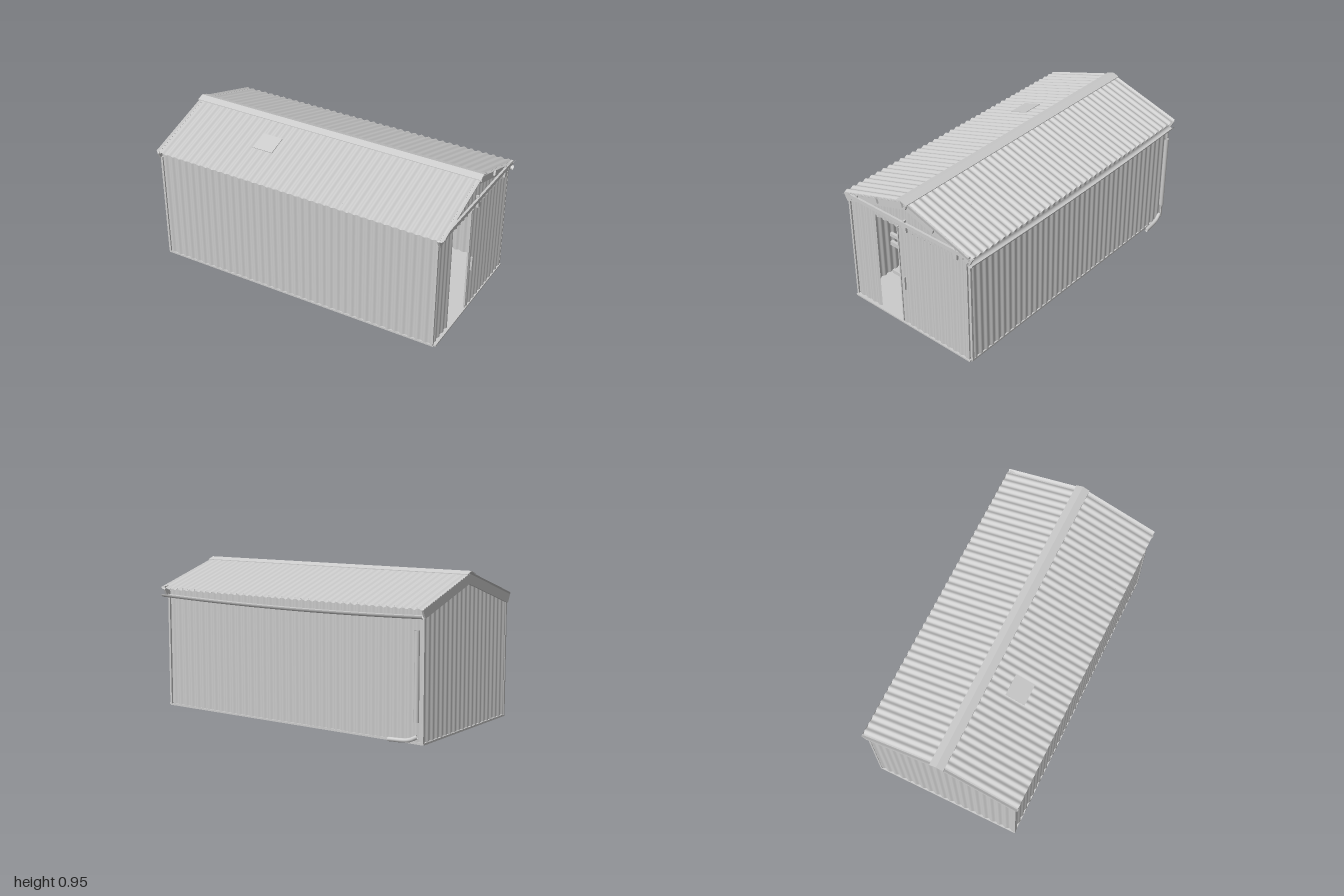
import * as THREE from 'three';

const mat = new THREE.MeshStandardMaterial({ color: 0xcccccc, side: THREE.DoubleSide });
const PITCH = Math.atan(0.317);
const roofY = (z) => 0.936 - 0.317 * Math.abs(z);

export function createModel() {
  const root = new THREE.Group();
  root.name = 'corrugatedShed';

  const add = (name, geo, x = 0, y = 0, z = 0, parent = root) => {
    const m = new THREE.Mesh(geo, mat);
    m.name = name;
    m.position.set(x, y, z);
    parent.add(m);
    return m;
  };
  // box given by its extents on each axis
  const block = (name, [x0, x1], [y0, y1], [z0, z1]) => add(name,
    new THREE.BoxGeometry(x1 - x0, y1 - y0, z1 - z0), (x0 + x1) / 2, (y0 + y1) / 2, (z0 + z1) / 2);

  // wavy sheet from u0 to u1 and from bottom to top(u), ribs running upward
  const sheet = (u0, u1, bottom, top, amp = 0.005, period = 0.05) => {
    const n = Math.max(8, Math.ceil((u1 - u0) / period * 10));
    const g = new THREE.PlaneGeometry(u1 - u0, 1, n, 1);
    const p = g.attributes.position;
    for (let i = 0; i < p.count; i++) {
      const u = p.getX(i) + (u0 + u1) / 2;
      const v = p.getY(i) + 0.5;
      p.setXYZ(i, u, bottom + v * (top(u) - bottom), amp * Math.cos(u / period * Math.PI * 2));
    }
    g.computeVertexNormals();
    return g;
  };
  // sheet on an end wall, given by its z range
  const endSheet = (name, x, z0, z1, bottom, top) => {
    const m = add(name, sheet(-z1, -z0, bottom, (u) => top(-u)), x);
    m.rotation.y = Math.PI / 2;
    return m;
  };
  // profile in z and y, extruded along x
  const profile = (name, pts, x0, x1) => {
    const s = new THREE.Shape(pts.map(([z, y]) => new THREE.Vector2(-z, y)));
    const g = new THREE.ExtrudeGeometry(s, { depth: x1 - x0, bevelEnabled: false });
    g.rotateY(Math.PI / 2);
    return add(name, g, x0);
  };

  // floor and long walls
  block('floor', [-0.98, 0.96], [0, 0.012], [-0.482, 0.492]);
  const eaves = () => 0.775;
  add('frontWall', sheet(-0.975, 0.955, 0.01, eaves), 0, 0, 0.487);
  add('backWall', sheet(-0.975, 0.955, 0.01, eaves), 0, 0, -0.477);

  // end walls, with a doorway on the +x end
  const gable = (z) => 0.9 - 0.317 * Math.abs(z);
  endSheet('plainEndWall', -0.972, -0.477, 0.487, 0.01, gable);
  endSheet('doorEndWallLeft', 0.953, 0.278, 0.487, 0.01, gable);
  endSheet('doorEndWallRight', 0.953, -0.477, -0.2, 0.01, gable);
  endSheet('doorEndWallTop', 0.953, -0.2, 0.278, 0.7, gable);

  // corner trims
  for (const x of [-0.972, 0.953])
    for (const z of [-0.478, 0.488])
      block('cornerTrim', [x - 0.007, x + 0.007], [0.01, 0.73], [z - 0.007, z + 0.007]);

  // barge boards under both roof ends
  const barge = [[0.505, 0.772], [0, 0.932], [-0.505, 0.772], [-0.515, 0.765],
    [-0.49, 0.716], [0, 0.87], [0.49, 0.716], [0.515, 0.765]];
  profile('bargeBoard', barge, 0.958, 0.972);
  profile('bargeBoard', barge, -0.988, -0.976);

  // purlins showing past the boards
  for (const s of [-1, 1])
    for (const z of [0.018, 0.225, 0.45]) {
      const p = add('purlin', new THREE.BoxGeometry(1.97, 0.04, 0.015), 0, roofY(z) - 0.026, s * z);
      p.rotation.x = s * PITCH;
    }

  // roof sheets, ribs running down the slope
  const slope = 0.51 / Math.cos(PITCH);
  for (const s of [1, -1]) {
    const side = new THREE.Group();
    side.name = s > 0 ? 'frontRoof' : 'backRoof';
    side.position.y = 0.936;
    side.rotation.y = s > 0 ? 0 : Math.PI;
    root.add(side);
    for (const lift of [0, -0.006]) {
      const m = add('roofSheet', sheet(-0.995, 0.995, -slope, () => 0), 0, lift, 0, side);
      m.rotation.x = PITCH - Math.PI / 2;
    }
    if (s > 0) {
      // loose patch
      const patch = add('roofPatch', new THREE.BoxGeometry(0.14, 0.004, 0.13),
        -0.35, -0.317 * 0.22 + 0.009, 0.22, side);
      patch.rotation.x = PITCH;
    }
  }
  profile('ridgeCap', [[0.045, 0.931], [0, 0.947], [-0.045, 0.931],
    [-0.045, 0.927], [0, 0.942], [0.045, 0.927]], -1, 1);

  // sliding door with its rail, hangers and handle
  endSheet('slidingDoor', 0.969, -0.47, 0.075, 0.018, () => 0.725);
  for (const z of [-0.466, 0.072])
    block('doorEdge', [0.961, 0.972], [0.018, 0.725], [z - 0.004, z + 0.004]);
  block('doorRail', [0.972, 0.986], [0.76, 0.785], [-0.5, 0.46]);
  for (const z of [0, -0.395])
    block('doorHanger', [0.97, 0.985], [0.72, 0.765], [z - 0.014, z + 0.014]);
  for (const z of [0.395, 0.005, -0.395])
    block('railBracket', [0.965, 0.982], [0.78, 0.797], [z - 0.006, z + 0.006]);
  block('doorHandle', [0.97, 0.982], [0.28, 0.375], [0.028, 0.036]);
  block('doorSill', [0.955, 0.975], [0.003, 0.013], [-0.475, 0.487]);

  // sagging gutter, open at the top
  const path = new THREE.QuadraticBezierCurve3(new THREE.Vector3(-0.985, 0.735, 0),
    new THREE.Vector3(0, 0.7, 0), new THREE.Vector3(0.985, 0.735, 0));
  const gutter = new THREE.CylinderGeometry(0.02, 0.02, 1.97, 10, 24, true, Math.PI / 2, Math.PI);
  gutter.rotateX(Math.PI / 2).rotateY(Math.PI / 2).rotateX(0);
  const gp = gutter.attributes.position;
  // turn the trough so that its open side faces up, then follow the sag
  for (let i = 0; i < gp.count; i++) {
    const x = gp.getX(i);
    const a = (i % 11) / 10 * Math.PI;
    gp.setXYZ(i, x, path.getPoint(x / 1.97 + 0.5).y - 0.02 * Math.sin(a), 0.02 * Math.cos(a));
  }
  gutter.computeVertexNormals();
  add('gutter', gutter, 0, 0, -0.503);

  // broken downpipe: standing length and fallen foot
  add('downpipe', new THREE.CylinderGeometry(0.015, 0.015, 0.52, 12, 1, true), -0.94, 0.39, -0.497);
  const foot = new THREE.CatmullRomCurve3([new THREE.Vector3(-0.94, 0.045, -0.488),
    new THREE.Vector3(-0.89, 0.022, -0.497), new THREE.Vector3(-0.76, 0.014, -0.508)]);
  add('fallenPipe', new THREE.TubeGeometry(foot, 12, 0.013, 10));

  // inner girts on the plain end wall
  for (const y of [0.555, 0.69])
    block('girt', [-0.965, -0.945], [y - 0.015, y + 0.015], [-0.47, 0.48]);

  // slatted rack and barrel inside the doorway
  for (const [y0, y1] of [[0.06, 0.085], [0.28, 0.31], [0.35, 0.373]])
    block('rackRail', [0.7, 0.72], [y0, y1], [-0.02, 0.42]);
  for (let i = 0; i < 5; i++) {
    const z = 0.105 + i * 0.032;
    block('rackSlat', [0.685, 0.7], [0.02, 0.385], [z - 0.011, z + 0.011]);
  }
  const barrel = [[0, 0], [0.085, 0], [0.09, 0.01], [0.09, 0.09], [0.094, 0.095], [0.09, 0.1],
    [0.09, 0.18], [0.094, 0.185], [0.09, 0.19], [0.09, 0.27], [0.085, 0.28], [0, 0.275]];
  add('barrel', new THREE.LatheGeometry(barrel.map(([r, y]) => new THREE.Vector2(r, y)), 24), 0.62, 0.012, -0.15);

  return root;
}
